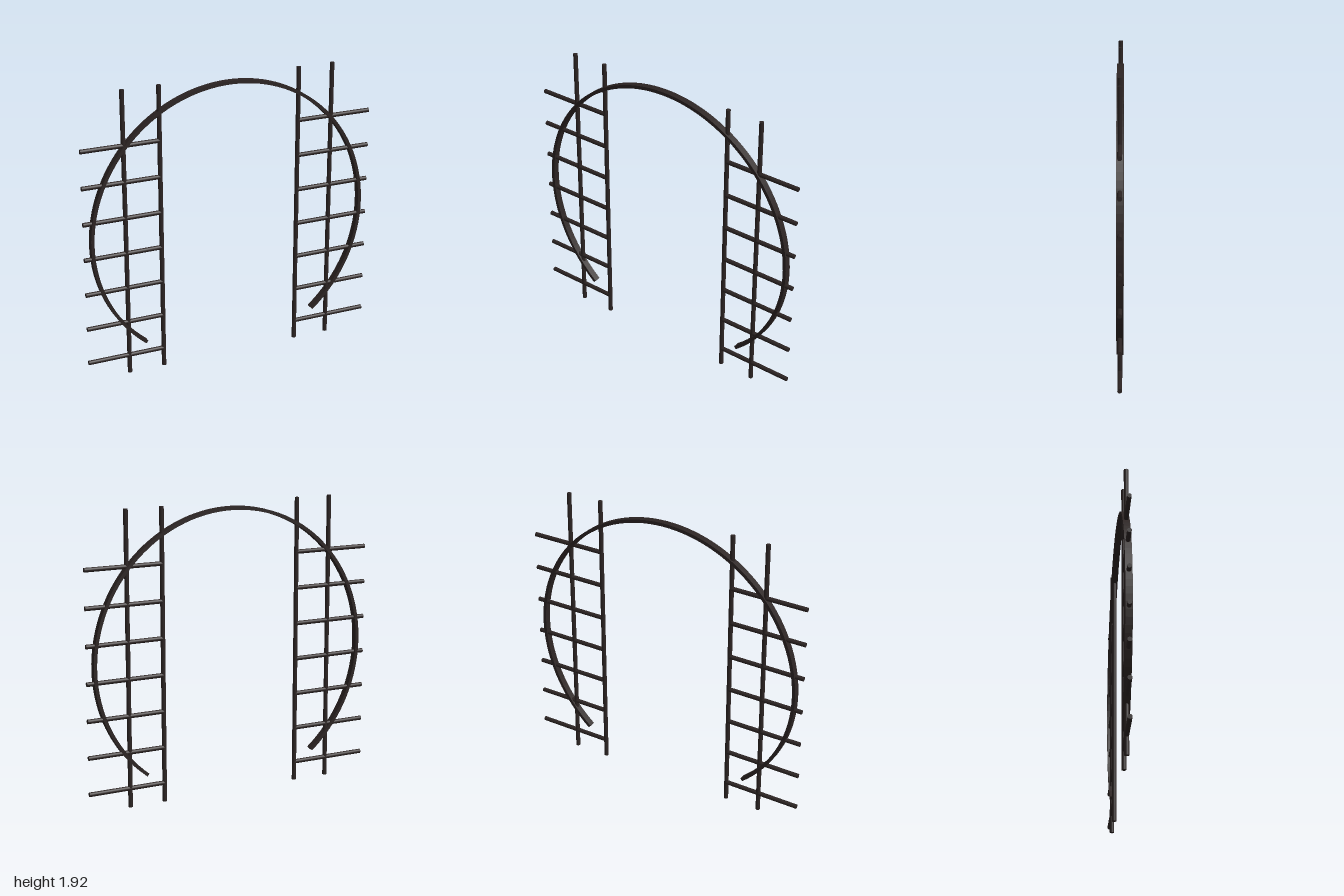
import * as THREE from 'three';

export function createModel() {
  const group = new THREE.Group();
  const darkIron = new THREE.MeshStandardMaterial({ color: 0x2c2423 });
  darkIron.name = 'darkIron';

  const add = (name, geometry, x = 0, y = 0) => {
    const mesh = new THREE.Mesh(geometry, darkIron);
    mesh.name = name;
    mesh.position.set(x, y, 0);
    group.add(mesh);
    return mesh;
  };

  const barRadius = 0.0145;
  const postHeight = 1.92;
  const postGeometry = new THREE.CylinderGeometry(barRadius, barRadius, postHeight, 16);
  const rungGeometry = new THREE.CylinderGeometry(barRadius, barRadius, 0.52, 16);
  rungGeometry.rotateZ(Math.PI / 2);

  // Ladder panels, mirrored: two upright posts and seven rungs each
  for (const side of [-1, 1]) {
    const label = side > 0 ? 'left' : 'right';
    add(`${label}InnerPost`, postGeometry, side * 0.48, postHeight / 2);
    add(`${label}OuterPost`, postGeometry, side * 0.72, postHeight / 2);
    for (let i = 0; i < 7; i++) {
      add(`${label}Rung${i + 1}`, rungGeometry, side * 0.74, 0.125 + i * 0.2395);
    }
  }

  // Flat hoop band, open at the bottom
  const outer = 0.958, inner = 0.936, depth = 0.044;
  const start = -0.882, end = Math.PI - start;
  const band = new THREE.Shape();
  band.absarc(0, 0, outer, start, end, false);
  band.absarc(0, 0, inner, end, start, true);
  band.closePath();
  const hoop = new THREE.ExtrudeGeometry(band, { depth, bevelEnabled: false, curveSegments: 48 });
  hoop.translate(0, 0, -depth / 2);
  add('archHoop', hoop, 0, 0.932);

  return group;
}
